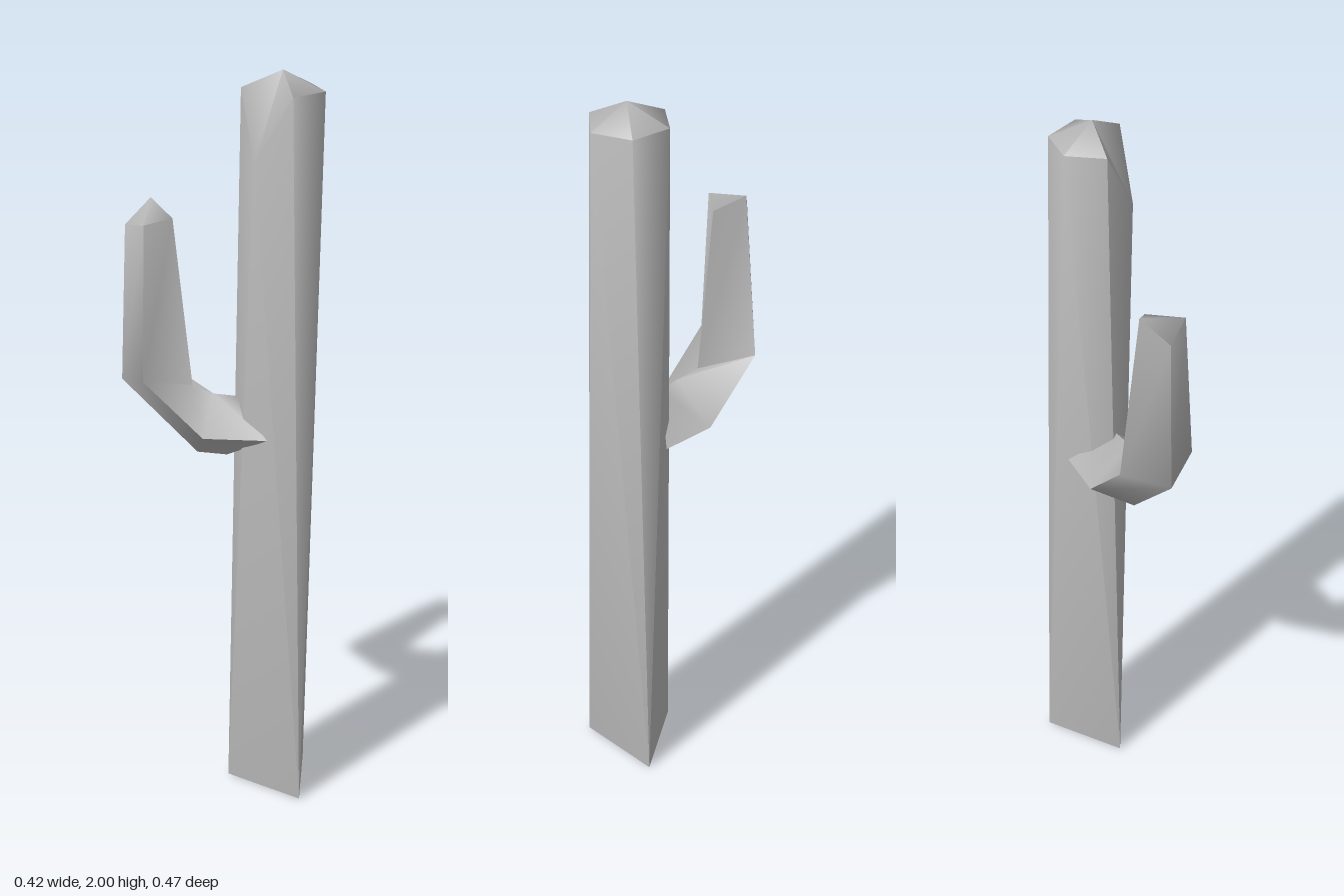
import * as THREE from 'three';
import { toCreasedNormals } from 'three/addons/utils/BufferGeometryUtils.js';

// Builds a softly shaded mesh from corner points and triangle corners
function facetMesh(name, points, triangles, material) {
  const geometry = new THREE.BufferGeometry();
  geometry.setAttribute('position', new THREE.Float32BufferAttribute(points.flat(), 3));
  geometry.setIndex(triangles.flat());
  const mesh = new THREE.Mesh(toCreasedNormals(geometry, 1.15), material);
  mesh.name = name;
  return mesh;
}

export function createModel() {
  const group = new THREE.Group();
  group.name = 'cactus';
  const skin = new THREE.MeshStandardMaterial({ color: 0xb4b4b4 });
  skin.name = 'grey cactus skin';

  // Trunk: a three-cornered foot that fans out into a six-sided crown
  const foot = [[0.025, 0, 0.234], [0.21, 0, 0.08], [-0.015, 0, 0]];
  const crown = [
    [-0.03, 1.78, 0.105], [0.015, 1.95, 0.192], [0.127, 1.95, 0.198],
    [0.178, 1.95, 0.105], [0.125, 1.95, 0.011], [0.02, 1.95, 0.011],
  ];
  const apex = [0.07, 2, 0.107];
  const top = (i) => 3 + (i % 6);
  const trunkFaces = [[2, 1, 0]];
  for (let i = 0; i < 3; i++) {
    trunkFaces.push(
      [i, (i + 1) % 3, top(2 * i + 2)],
      [i, top(2 * i + 1), top(2 * i)],
      [i, top(2 * i + 2), top(2 * i + 1)],
    );
  }
  for (let i = 0; i < 6; i++) trunkFaces.push([top(i), top(i + 1), 9]);
  group.add(facetMesh('trunk', [...foot, ...crown, apex], trunkFaces, skin));

  // Arm: four-sided sections (under, left, upper, right) from trunk to tip
  const sections = [
    [[-0.02, 0.975, 0.0], [-0.015, 1.05, 0.14], [0.0, 1.14, 0.02], [0.128, 1.04, 0.02]],
    [[-0.06, 0.975, -0.07], [-0.12, 1.05, 0.01], [-0.04, 1.145, -0.03], [0.05, 1.045, -0.105]],
    [[-0.175, 1.17, -0.235], [-0.213, 1.2, -0.115], [-0.062, 1.16, -0.085], [-0.045, 1.2, -0.235]],
    [[-0.165, 1.59, -0.223], [-0.19, 1.61, -0.127], [-0.09, 1.61, -0.125], [-0.087, 1.65, -0.208]],
  ];
  const armFaces = [[2, 1, 0], [3, 2, 0]];
  for (let s = 0; s < 3; s++) {
    for (let i = 0; i < 4; i++) {
      const a = s * 4 + i;
      const b = s * 4 + ((i + 1) % 4);
      armFaces.push([a, b, b + 4], [a, b + 4, a + 4]);
    }
  }
  armFaces.push([13, 14, 15], [12, 13, 15]);
  group.add(facetMesh('arm', sections.flat(), armFaces, skin));

  return group;
}
